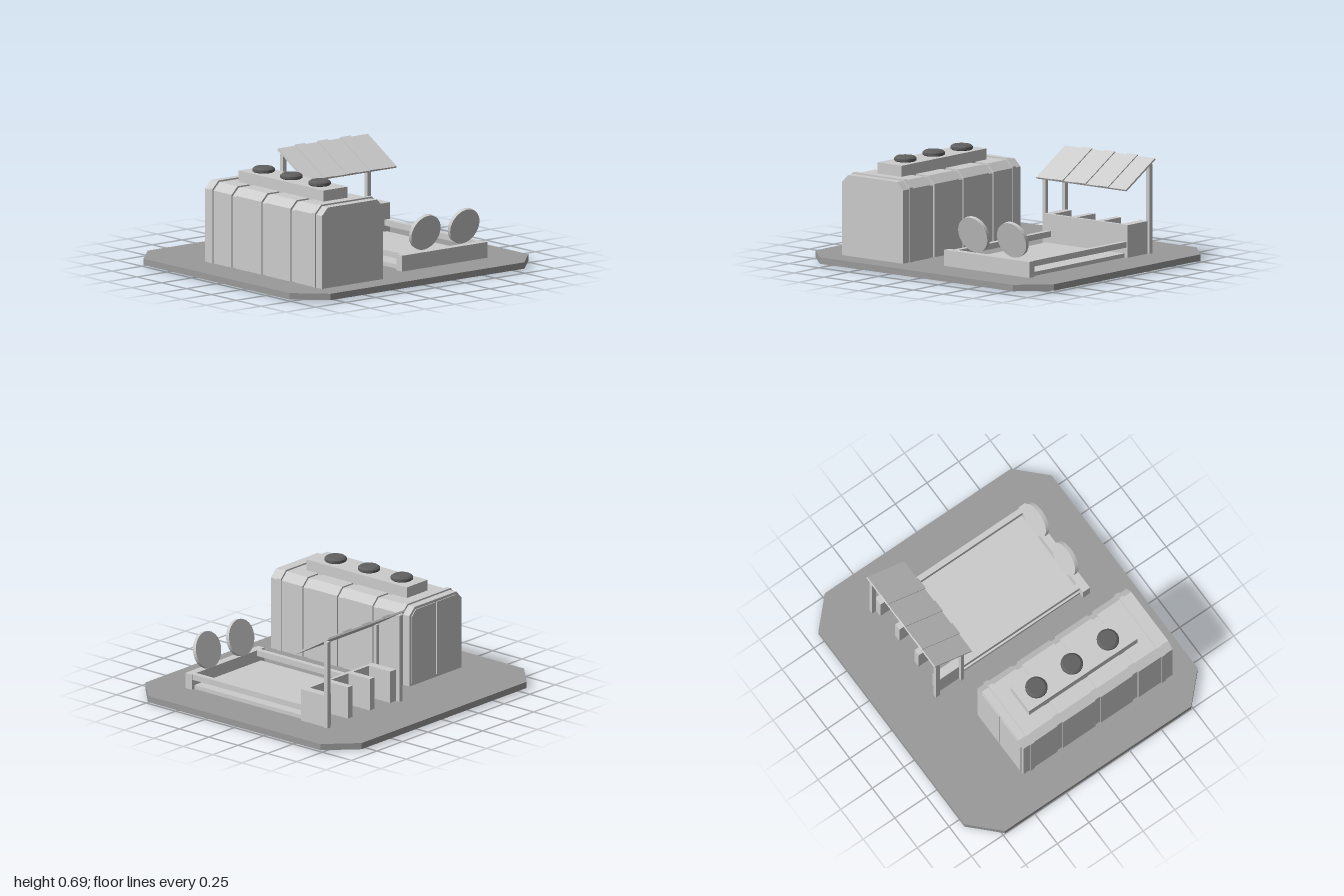
import * as THREE from 'three';

const material = (color) => new THREE.MeshStandardMaterial({ color, flatShading: true });
const grey = material(0xcccccc), slabGrey = material(0x9a9a9a), dark = material(0x606060);

function add(parent, name, geometry, mat = grey) {
  const mesh = new THREE.Mesh(geometry, mat);
  mesh.name = name;
  parent.add(mesh);
  return mesh;
}

// Box given by its limits on each axis
function block(parent, name, [x0, x1], [y0, y1], [z0, z1], mat = grey) {
  const mesh = add(parent, name, new THREE.BoxGeometry(x1 - x0, y1 - y0, z1 - z0), mat);
  mesh.position.set((x0 + x1) / 2, (y0 + y1) / 2, (z0 + z1) / 2);
  return mesh;
}

function polygon(points) {
  return new THREE.Shape(points.map(([x, y]) => new THREE.Vector2(x, y)));
}

// Slice of the container hull: straight walls with chamfered upper edges
function hullSlice(parent, name, half, top, z0, z1) {
  const c = 0.05;
  const shape = polygon([[-half, 0.05], [half, 0.05], [half, top - c],
    [half - c, top], [c - half, top], [-half, top - c]]);
  const mesh = add(parent, name, new THREE.ExtrudeGeometry(shape, { depth: z1 - z0, bevelEnabled: false }));
  mesh.position.z = z0;
  return mesh;
}

function buildContainer() {
  const g = new THREE.Group();
  g.name = 'container';
  g.position.x = -0.4975;

  // Core shows as grooves between the wall sections
  hullSlice(g, 'core', 0.246, 0.571, -0.41, 0.75);
  for (const [a, b] of [[-0.415, -0.145], [-0.1, 0.155], [0.2, 0.45], [0.495, 0.765]])
    hullSlice(g, 'wallSection', 0.255, 0.58, a, b);
  for (const z of [-0.345, 0.69]) hullSlice(g, 'rimBand', 0.262, 0.59, z - 0.016, z + 0.016);

  // Pair of doors on the back end
  for (const s of [-1, 1]) {
    const shape = polygon([[0.008, 0.07], [0.235, 0.07], [0.235, 0.525], [0.197, 0.563], [0.008, 0.563]]
      .map(([x, y]) => [s * x, y]));
    const door = add(g, 'backDoor', new THREE.ExtrudeGeometry(shape, { depth: 0.008, bevelEnabled: false }));
    door.position.z = -0.421;
  }

  // Roof unit with three round vents
  block(g, 'roofUnit', [-0.102, 0.102], [0.57, 0.652], [-0.26, 0.595]);
  for (const z of [-0.13, 0.15, 0.435]) {
    const profile = [[0, 0.65], [0.062, 0.65], [0.072, 0.658], [0.072, 0.674], [0.058, 0.685], [0, 0.685]]
      .map(([r, y]) => new THREE.Vector2(r, y));
    add(g, 'roofVent', new THREE.LatheGeometry(profile, 28), dark).position.z = z;
  }
  return g;
}

function buildPen() {
  const g = new THREE.Group();
  g.name = 'pen';

  block(g, 'floor', [0.045, 0.7], [0, 0.078], [-0.33, 0.635]);
  block(g, 'frontWall', [0.01, 0.725], [0.05, 0.156], [0.6, 0.655]);
  for (const x of [0.047, 0.68]) block(g, 'sideRail', [x, x + 0.037], [0.118, 0.156], [-0.335, 0.605]);

  // Two leaning discs on the front wall
  for (const x of [0.23, 0.555]) {
    const disc = add(g, 'disc', new THREE.CylinderGeometry(0.12, 0.12, 0.026, 36));
    disc.position.set(x, 0.278, 0.617);
    disc.rotation.x = Math.PI / 2 + 0.25;
  }
  return g;
}

function buildStall() {
  const g = new THREE.Group();
  g.name = 'stall';

  // Counter wall with dividers opening to the back
  block(g, 'counterWall', [0.025, 0.725], [0.05, 0.265], [-0.355, -0.33]);
  for (const [a, b] of [[0.025, 0.085], [0.24, 0.285], [0.455, 0.5], [0.665, 0.725]])
    block(g, 'divider', [a, b], [0.05, 0.265], [-0.535, -0.35]);

  // Posts under the awning
  for (const x of [0.003, 0.71]) block(g, 'backPost', [x, x + 0.028], [0.05, 0.637], [-0.568, -0.537]);
  block(g, 'frontPost', [0.003, 0.028], [0.05, 0.53], [-0.37, -0.345]);

  // Sloping awning with raised strips
  const awning = new THREE.Group();
  awning.name = 'awning';
  awning.position.set(0, 0.583, -0.437);
  awning.rotation.x = Math.atan2(0.168, 0.29);
  block(awning, 'awningSheet', [-0.005, 0.748], [-0.006, 0.006], [-0.168, 0.168]);
  for (const x of [0.137, 0.328, 0.517])
    block(awning, 'awningStrip', [x, x + 0.085], [0, 0.013], [-0.172, 0.172]);
  g.add(awning);
  return g;
}

export function createModel() {
  const model = new THREE.Group();
  model.name = 'yard';

  // Ground slab with clipped corners
  const x = 1, z = 0.922, cx = 0.81, cz = 0.735;
  const outline = polygon([[cx, -z], [x, -cz], [x, cz], [cx, z], [-cx, z], [-x, cz], [-x, -cz], [-cx, -z]]);
  const slab = add(model, 'groundSlab', new THREE.ExtrudeGeometry(outline, { depth: 0.042, bevelEnabled: false }), slabGrey);
  slab.rotation.x = -Math.PI / 2;
  slab.position.y = 0.01;

  model.add(buildContainer(), buildPen(), buildStall());
  return model;
}
